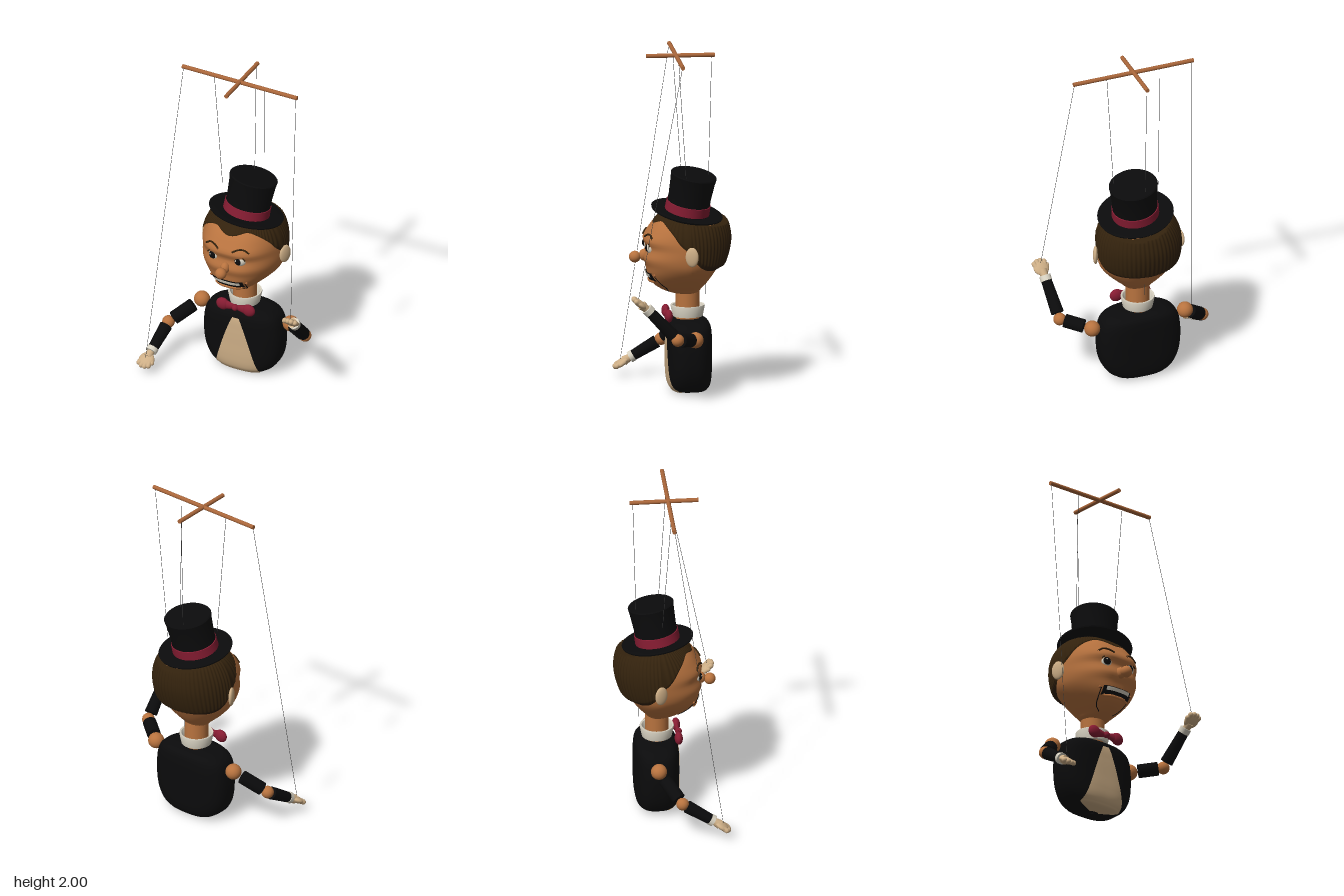
import * as THREE from 'three';
import { toCreasedNormals } from 'three/addons/utils/BufferGeometryUtils.js';
import { ParametricGeometry } from 'three/addons/geometries/ParametricGeometry.js';

const mat = (name, color, side = THREE.FrontSide) => {
  const m = new THREE.MeshStandardMaterial({ color, side });
  m.name = name;
  return m;
};
const M = {
  skin: mat('skin', 0xb8733f), wood: mat('wood', 0xa9663a), black: mat('black', 0x0b0b0c, THREE.DoubleSide),
  red: mat('red', 0x861c32), cream: mat('cream', 0xcdae86, THREE.DoubleSide),
  white: mat('white', 0xd8d2c2, THREE.DoubleSide), hair: mat('hair', 0x33220d, THREE.DoubleSide),
  string: mat('string', 0x3a3a3a),
};
const V = (x, y, z) => new THREE.Vector3(x, y, z);
const UP = V(0, 1, 0);
const { smoothstep, clamp } = THREE.MathUtils;

// Smooth interpolation through rows whose first entry is the key
function sample(rows, y) {
  let i = 0;
  while (i < rows.length - 2 && y > rows[i + 1][0]) i++;
  const p = rows[i], q = rows[i + 1];
  const o = rows[Math.max(i - 1, 0)], r = rows[Math.min(i + 2, rows.length - 1)];
  const h = q[0] - p[0], t = clamp((y - p[0]) / h, 0, 1), t2 = t * t, t3 = t2 * t;
  return p.map((_, k) => (2 * t3 - 3 * t2 + 1) * p[k] + (3 * t2 - 2 * t3) * q[k]
    + (t3 - 2 * t2 + t) * h * (q[k] - o[k]) / (q[0] - o[0])
    + (t3 - t2) * h * (r[k] - p[k]) / (r[0] - p[0]));
}

// Bodies: rows of height, half width, front z, back z; roundness and front taper
const HEAD = { zc: -0.07, front: 3, back: 2, taper: 0.26, rows: [
  [0.575, 0.01, -0.05, -0.09], [0.585, 0.07, 0.01, -0.13], [0.61, 0.1, 0.08, -0.155],
  [0.65, 0.145, 0.135, -0.19], [0.7, 0.195, 0.16, -0.225], [0.75, 0.23, 0.17, -0.255],
  [0.8, 0.245, 0.185, -0.275], [0.86, 0.25, 0.17, -0.29], [0.91, 0.248, 0.185, -0.295],
  [0.96, 0.238, 0.158, -0.29], [1.01, 0.215, 0.12, -0.275], [1.05, 0.18, 0.07, -0.245],
  [1.085, 0.11, 0.01, -0.17], [1.1, 0.01, -0.06, -0.08]] };
const TORSO = { zc: -0.08, front: 2.8, back: 2.8, taper: 0, rows: [
  [0.005, 0.01, -0.07, -0.09], [0.01, 0.12, 0.0, -0.16], [0.03, 0.17, 0.03, -0.19],
  [0.06, 0.205, 0.043, -0.203], [0.12, 0.236, 0.049, -0.209], [0.2, 0.25, 0.05, -0.21],
  [0.3, 0.249, 0.05, -0.21], [0.38, 0.23, 0.046, -0.206], [0.415, 0.19, 0.03, -0.19],
  [0.43, 0.13, 0.0, -0.15], [0.436, 0.01, -0.07, -0.09]] };

// Point on a body at azimuth a (0 is the front)
function bodyPoint(body, a, y, off, out) {
  const [, w, zf, zb] = sample(body.rows, y), s = Math.sin(a), c = Math.cos(a);
  const e = 2 / (c > 0 ? body.front : body.back), t = Math.abs(c) ** e;
  const x = (w + off) * Math.sign(s) * Math.abs(s) ** e;
  return c > 0 ? out.set(x * (1 - body.taper * t ** 1.2), y, body.zc + (zf + off - body.zc) * t)
    : out.set(x, y, body.zc + (zb - off - body.zc) * t);
}
// Keep the crown of the head beneath the tilted hat
function underHat(p) {
  p.y = Math.min(p.y, 1.052 - 0.13 * (p.x - 0.01) + 0.17 * (p.z + 0.07));
  return p;
}
// Point on the front of a body at given x and y, found by bisection
function frontPoint(body, x, y, off) {
  const [, w, zf] = sample(body.rows, y), n = body.front;
  let lo = 0, hi = 1;
  for (let i = 0; i < 24; i++) {
    const t = (lo + hi) / 2;
    if ((1 - t ** n) ** (1 / n) * (1 - body.taper * t ** 1.2) > Math.abs(x) / w) lo = t; else hi = t;
  }
  return V(x, y, body.zc + (zf - body.zc) * lo + off);
}
const onFace = (x, y, off) => frontPoint(HEAD, x, y, off);

function bodyGeometry(body, fix = (p) => p) {
  const y0 = body.rows[0][0], y1 = body.rows[body.rows.length - 1][0];
  return new ParametricGeometry((u, v, t) =>
    fix(bodyPoint(body, (u * 2 - 1) * Math.PI, y0 + (y1 - y0) * (1 - Math.cos(Math.PI * v)) / 2, 0, t)), 144, 56);
}
// Thin plate following the front of a body
function frontPatch(body, half, y0, y1, off) {
  return new ParametricGeometry((u, v, t) => {
    const y = y0 + (y1 - y0) * v * v;
    t.copy(frontPoint(body, (u * 2 - 1) * half(y), y, off));
    t.y -= off * (1 - smoothstep(y, 0.005, 0.05));
  }, 24, 40);
}

export function createModel() {
  const root = new THREE.Group();
  root.name = 'marionette';
  const add = (name, geo, material, pos, parent = root) => {
    const m = new THREE.Mesh(geo, material);
    m.name = name;
    if (pos) m.position.copy(pos);
    parent.add(m);
    return m;
  };
  const ball = (name, r, material, pos, scale = [1, 1, 1], parent = root) => {
    const m = add(name, new THREE.SphereGeometry(r, 28, 20), material, pos, parent);
    m.scale.set(...scale);
    return m;
  };
  const rod = (name, a, b, r0, r1, material, sides = 24) => {
    const d = b.clone().sub(a);
    const m = add(name, new THREE.CylinderGeometry(r1, r0, d.length(), sides), material, a.clone().add(b).multiplyScalar(0.5));
    m.quaternion.setFromUnitVectors(UP, d.normalize());
    return m;
  };
  const lathe = (pts) => toCreasedNormals(
    new THREE.LatheGeometry(pts.map((p) => new THREE.Vector2(...p)), 48), 0.7);
  const tube = (name, pts, r, material) =>
    add(name, new THREE.TubeGeometry(new THREE.CatmullRomCurve3(pts), 20, r, 8), material);

  // Torso, shirt front, neck, collar
  add('torso', bodyGeometry(TORSO), M.black);
  add('shirtFront', frontPatch(TORSO, (y) => Math.min(sample(TORSO.rows, y)[1] * 0.9,
    0.02 + 0.125 * ((0.386 - y) / 0.37) ** 0.85), 0.006, 0.385, 0.003), M.cream);
  rod('neck', V(0, 0.42, -0.075), V(0, 0.62, -0.075), 0.07, 0.07, M.skin, 32);
  add('collar', lathe([[0.07, 0.445], [0.088, 0.445], [0.1, 0.505], [0.098, 0.512], [0.088, 0.51], [0.07, 0.47]]),
    M.white, V(0, 0, -0.075));

  // Bow tie
  for (const s of [-1, 1]) {
    ball('bowLobe', 0.04, M.red, V(s * 0.085, 0.46, 0.045), [1.02, 0.95, 0.6]);
    rod('bowFold', V(s * 0.005, 0.46, 0.047), V(s * 0.075, 0.46, 0.045), 0.014, 0.032, M.red).scale.z = 0.6;
  }
  ball('bowKnot', 0.02, M.red, V(0, 0.46, 0.052));

  // Head and finely ridged hair
  add('head', bodyGeometry(HEAD, underHat), M.skin);
  const hairline = [[0, 1.0], [0.5, 1.025], [0.95, 1.005], [1.3, 0.955], [1.52, 0.88], [1.72, 0.8],
    [2.0, 0.755], [2.4, 0.735], [Math.PI, 0.725]];
  add('hair', new ParametricGeometry((u, v, t) => {
    const a = (u * 2 - 1) * Math.PI, y0 = sample(hairline, Math.abs(a))[1];
    const y = y0 + (1.095 - y0) * v;
    const off = 0.006 + 0.026 * smoothstep(Math.abs(a), 1.6, 2.9) + 0.002 * Math.sin(a * 64 + y * 16);
    underHat(bodyPoint(HEAD, a, y, off * smoothstep(v, -0.01, 0.09), t));
  }, 480, 30), M.hair);

  // Ears, eyes and brows
  for (const s of [-1, 1]) {
    ball('ear', 0.058, M.cream, V(s * 0.262, 0.84, -0.073), [0.27, 1, 0.68]).rotation.y = s * -0.42;
    const c = onFace(s * 0.083, 0.866, -0.024);
    ball('eye', 0.038, M.white, c);
    ball('pupil', 0.0275, M.black, c.clone().addScaledVector(V(-0.26, 0, 1).normalize(), 0.016));
    ball('eyeGlint', 0.005, M.white, c.clone().addScaledVector(V(-0.42, 0.2, 1).normalize(), 0.0415));
    tube('upperLid', [-0.04, -0.022, 0, 0.022, 0.04].map((x) =>
      V(c.x + x, c.y + 0.036 - 14 * x * x, c.z + 0.024)), 0.004, M.hair);
    tube('brow', [[0.045, 0.928], [0.075, 0.944], [0.108, 0.946], [0.14, 0.926]].map(([x, y]) =>
      onFace(s * x, y, 0.004)), 0.0055, M.hair);
    // Hinged jaw seam
    tube('jawSeam', [[0.106, 0.705], [0.1, 0.66], [0.082, 0.625], [0.05, 0.6]].map(([x, y]) =>
      onFace(s * x, y, 0.001)), 0.003, M.black);
    ball('jawPin', 0.008, M.wood, onFace(s * 0.114, 0.707, 0.002));
  }
  ball('noseBase', 0.032, M.skin, V(0, 0.81, 0.178), [0.9, 1.1, 1]);
  ball('nose', 0.034, M.skin, V(0, 0.8, 0.234));

  // Mouth, teeth and lower jaw
  add('mouth', frontPatch(HEAD, () => 0.098, 0.668, 0.716, 0.004), M.black);
  add('teeth', frontPatch(HEAD, () => 0.082, 0.69, 0.711, 0.009), M.white);
  tube('lowerLip', [-0.085, -0.04, 0, 0.04, 0.085].map((x) => onFace(x, 0.664, 0.004)), 0.009, M.skin);

  // Tilted top hat
  const hat = new THREE.Group();
  hat.name = 'topHat';
  hat.position.set(0.01, 1.055, -0.068);
  hat.quaternion.setFromUnitVectors(UP, V(0.13, 1, -0.17).normalize());
  hat.scale.z = 0.94;
  root.add(hat);
  add('hatBody', lathe([[0, -0.01], [0.2, -0.006], [0.222, 0.003], [0.225, 0.011], [0.215, 0.014], [0.136, 0.008],
    [0.132, 0.1], [0.139, 0.2], [0.144, 0.234], [0.138, 0.24], [0, 0.234]]), M.black, null, hat);
  add('hatBand', lathe([[0.134, 0.01], [0.14, 0.012], [0.138, 0.066], [0.131, 0.068]]), M.red, null, hat);

  // Arms: shoulder, elbow, cuff and hand direction
  const arms = [
    ['left', V(0.29, 0.355, -0.09), V(0.446, 0.387, 0.03), V(0.465, 0.573, 0.205), V(0.012, 0.07, 0.085)],
    ['right', V(-0.29, 0.355, -0.09), V(-0.446, 0.22, 0.033), V(-0.466, 0.115, 0.205), V(-0.012, -0.06, 0.095)],
  ];
  for (const [side, shoulder, elbow, cuff, dir] of arms) {
    const mid = (a, b, t) => a.clone().lerp(b, t);
    ball(side + 'Shoulder', 0.047, M.skin, shoulder);
    ball(side + 'Elbow', 0.037, M.skin, elbow);
    rod(side + 'UpperSleeve', mid(shoulder, elbow, 0.26), mid(shoulder, elbow, 0.84), 0.04, 0.04, M.black);
    rod(side + 'LowerSleeve', mid(elbow, cuff, 0.15), mid(elbow, cuff, 0.94), 0.038, 0.031, M.black);
    rod(side + 'Cuff', mid(elbow, cuff, 0.92), mid(elbow, cuff, 1.05), 0.034, 0.034, M.white);

    // Mitten-like hand with closed fingers and a thumb
    const hand = new THREE.Group();
    hand.name = side + 'Hand';
    const Y = dir.clone().normalize(), Z = V(1, 0, 0).cross(Y).normalize(), X = Y.clone().cross(Z);
    hand.quaternion.setFromRotationMatrix(new THREE.Matrix4().makeBasis(X, Y, Z));
    hand.position.copy(cuff);
    root.add(hand);
    add('wrist', new THREE.CylinderGeometry(0.028, 0.02, 0.05, 20), M.cream, V(0, 0.025, 0), hand);
    ball('palm', 0.045, M.cream, V(0, 0.066, 0), [1.04, 1.05, 0.45], hand);
    for (let i = 0; i < 4; i++) {
      const k = i - 1.5;
      const f = add('finger', new THREE.CapsuleGeometry(0.0155, 0.04, 6, 12), M.cream,
        V(k * 0.0185, 0.09 - k * k * 0.005, 0), hand);
      f.rotation.z = -k * 0.12;
    }
    const s = side === 'left' ? -1 : 1;
    add('thumb', new THREE.CapsuleGeometry(0.013, 0.028, 6, 12), M.cream, V(s * 0.036, 0.062, 0.003), hand).rotation.z = -s * 0.4;
  }

  // Control cross and strings
  rod('crossBar', V(-0.375, 1.985, -0.008), V(0.375, 1.985, -0.008), 0.0125, 0.0125, M.wood, 16);
  rod('spineBar', V(0, 1.987, -0.233), V(0, 1.987, 0.168), 0.0125, 0.0125, M.wood, 16);
  const strings = [
    ['rightHandString', V(-0.367, 1.98, -0.005), V(-0.475, 0.085, 0.27)],
    ['leftHandString', V(0.367, 1.98, -0.005), V(0.473, 0.63, 0.265)],
    ['rightHeadString', V(-0.165, 1.98, -0.005), V(-0.138, 1.22, -0.055)],
    ['leftHeadString', V(0.165, 1.98, -0.005), V(0.14, 1.22, -0.055)],
    ['backString', V(0, 1.98, -0.215), V(0, 0.57, -0.18)],
  ];
  for (const [name, a, b] of strings) rod(name, a, b, 0.0012, 0.0012, M.string, 6);
  return root;
}
